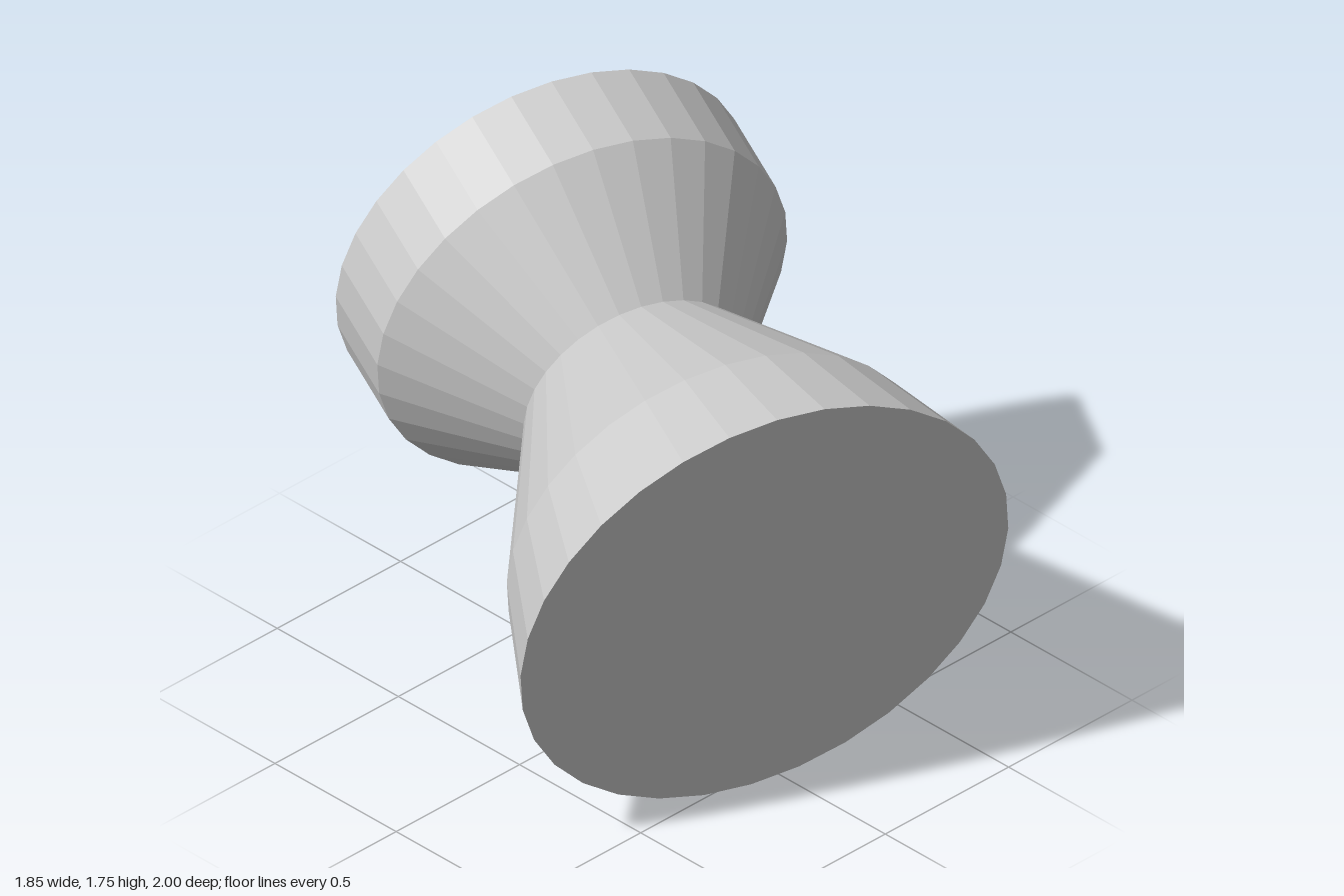
import * as THREE from 'three';

const SIDES = 32;
const material = new THREE.MeshStandardMaterial({ color: 0xcccccc, flatShading: true, side: THREE.DoubleSide });

// Turned part from [radius, distance along the axis] pairs
function turned(name, profile) {
  const points = profile.map(([r, y]) => new THREE.Vector2(r, y));
  const mesh = new THREE.Mesh(new THREE.LatheGeometry(points, SIDES), material);
  mesh.name = name;
  return mesh;
}

export function createModel() {
  const group = new THREE.Group();
  group.name = 'spool';

  // Wide base, tapering in two steps to the neck
  group.add(turned('flaredBase', [[0, 0], [0.776, 0], [0.66, 0.35], [0.355, 0.9]]));

  // Head, opening from the neck to a straight rim with a flat end
  group.add(turned('head', [[0.355, 0.9], [0.652, 1.27], [0.652, 1.56], [0, 1.56]]));

  // Tilt the shared axis and place the base disc
  const axis = new THREE.Vector3(0.32, 0.235, -0.918).normalize();
  group.quaternion.setFromUnitVectors(new THREE.Vector3(0, 1, 0), axis);
  group.position.set(-0.195, 0.757, 0.7);

  const model = new THREE.Group();
  model.name = 'model';
  model.add(group);
  return model;
}
